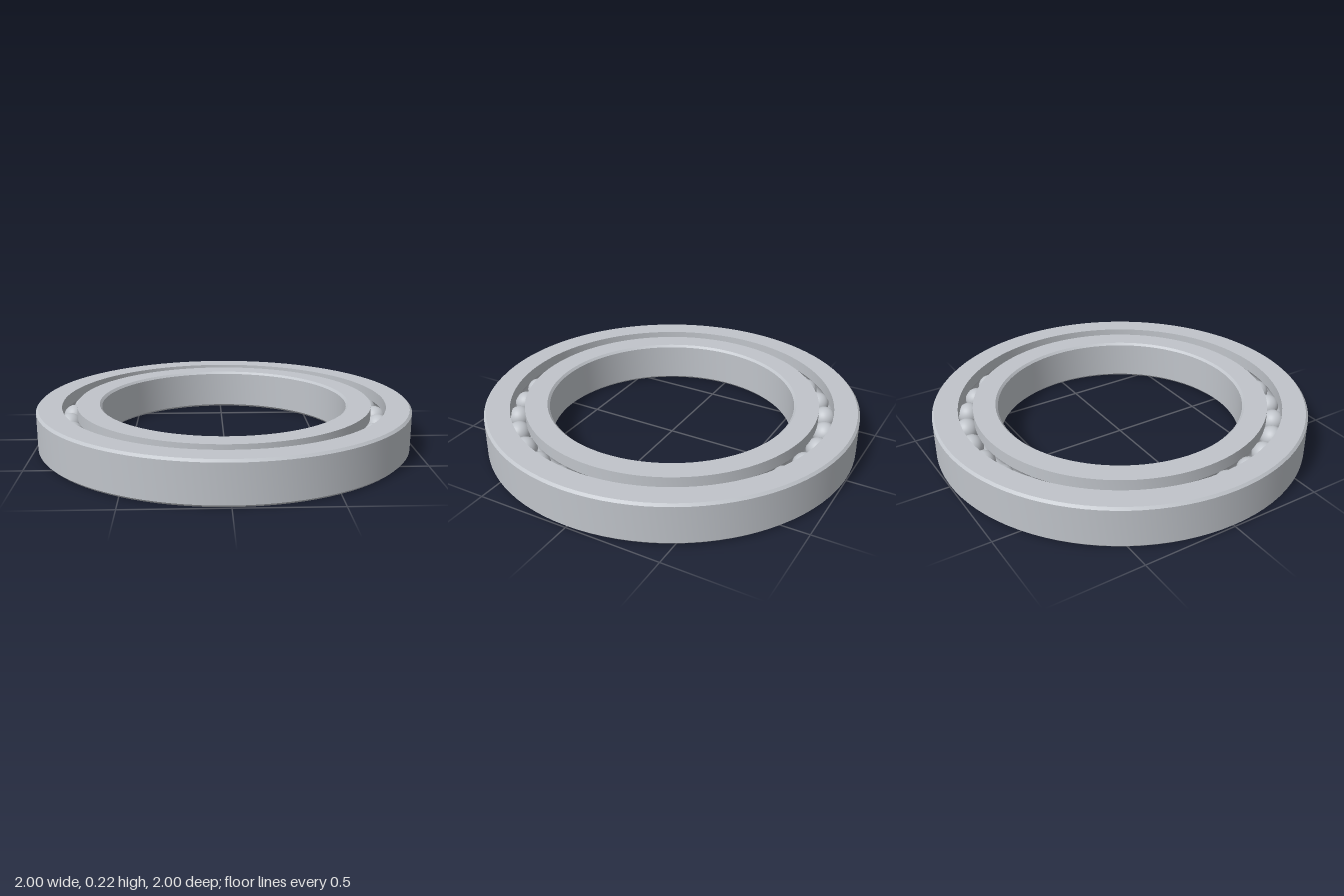
import * as THREE from 'three';
import { toCreasedNormals } from 'three/addons/utils/BufferGeometryUtils.js';

const HEIGHT = 0.22, MID = HEIGHT / 2;
const CHAMFER = 0.012;
const PITCH = 0.827;        // radius of the ball circle
const BALL = 0.061;         // ball radius
const BALL_COUNT = 31;
const SEGMENTS = 96;

// Circular raceway groove cut into a wall at radius r, from angle -a to +a
function groove(r) {
  const a = Math.acos(Math.abs(r - PITCH) / BALL);
  const side = Math.sign(r - PITCH);
  return Array.from({ length: 11 }, (_, i) => {
    const t = -a + (2 * a * i) / 10;
    return [PITCH + side * BALL * Math.cos(t), MID + BALL * Math.sin(t)];
  });
}

// Closed counter-clockwise profile spun into a ring with sharp edges
function ring(name, profile, material) {
  const points = [...profile, profile[0]].map(([x, y]) => new THREE.Vector2(x, y));
  const geometry = toCreasedNormals(new THREE.LatheGeometry(points, SEGMENTS), 0.5);
  const mesh = new THREE.Mesh(geometry, material);
  mesh.name = name;
  return mesh;
}

export function createModel() {
  const model = new THREE.Group();
  model.name = 'ballBearing';
  const steel = new THREE.MeshStandardMaterial({ color: 0xc0c4ca });
  steel.name = 'steel';

  // Outer ring: chamfered outside, grooved inside
  const c = CHAMFER, outerR = 1, outerWall = 0.866;
  model.add(ring('outerRing', [
    [outerWall, 0], [outerR - c, 0], [outerR, c],
    [outerR, HEIGHT - c], [outerR - c, HEIGHT], [outerWall, HEIGHT],
    ...groove(outerWall).reverse(),
  ], steel));

  // Inner ring: chamfered bore, grooved outside
  const bore = 0.657, innerWall = 0.788;
  model.add(ring('innerRing', [
    [bore + c, 0], [innerWall, 0],
    ...groove(innerWall),
    [innerWall, HEIGHT], [bore + c, HEIGHT], [bore, HEIGHT - c], [bore, c],
  ], steel));

  // Balls spaced evenly around the raceway
  const balls = new THREE.Group();
  balls.name = 'balls';
  const ballGeometry = new THREE.SphereGeometry(BALL, 28, 18);
  for (let i = 0; i < BALL_COUNT; i++) {
    const angle = (i / BALL_COUNT) * Math.PI * 2;
    const ball = new THREE.Mesh(ballGeometry, steel);
    ball.name = 'ball';
    ball.position.set(PITCH * Math.cos(angle), MID, PITCH * Math.sin(angle));
    balls.add(ball);
  }
  model.add(balls);

  return model;
}
